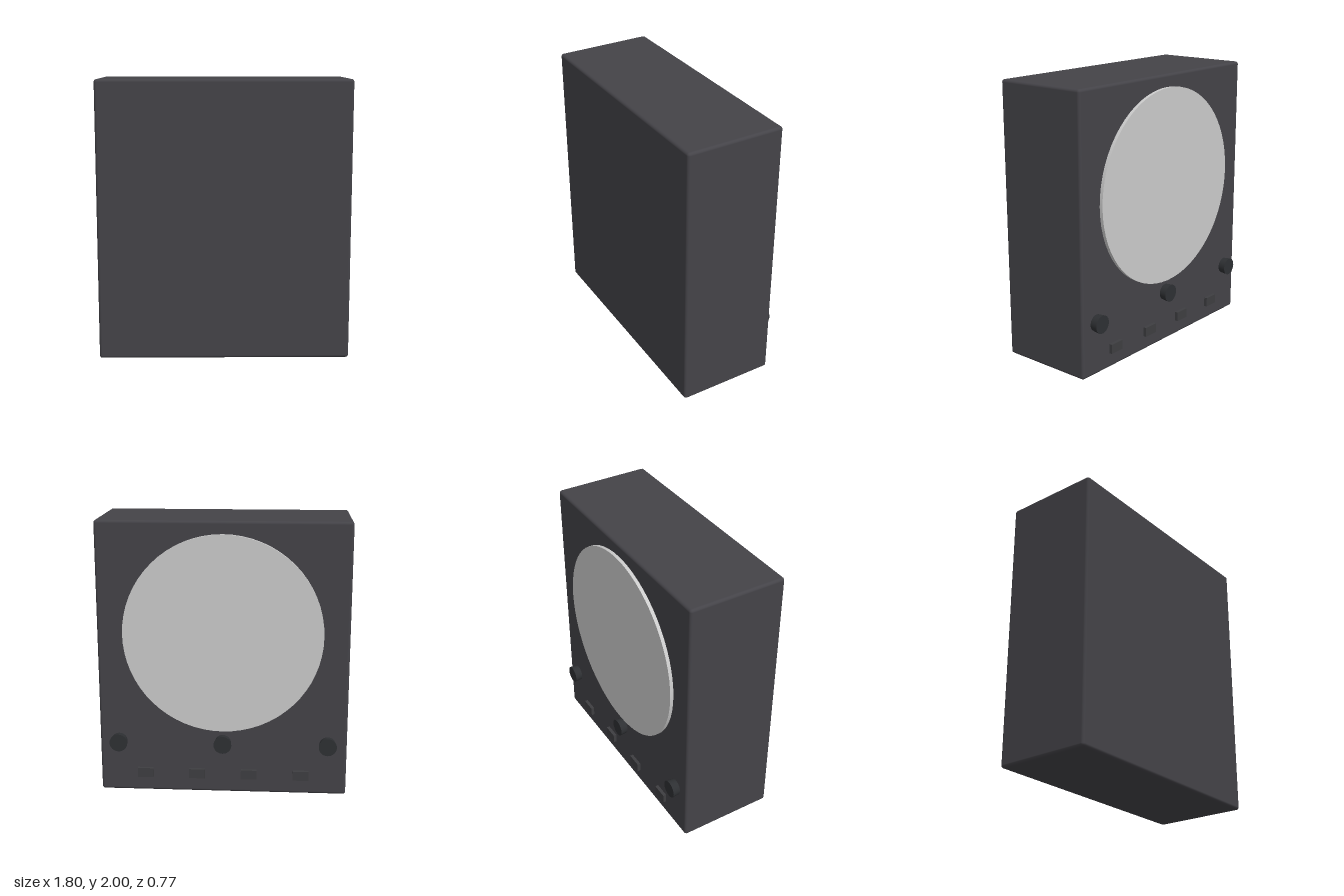
import * as THREE from 'three';
import { RoundedBoxGeometry } from 'three/addons/geometries/RoundedBoxGeometry.js';

const paint = (color) => new THREE.MeshStandardMaterial({ color });
const BACK = -0.328; // z of the control panel

export function createModel() {
  const group = new THREE.Group();
  const caseMat = paint(0x444348);
  const knobMat = paint(0x2e3033);
  const buttonMat = paint(0x3e3e41);
  const dialMat = paint(0xcccccc);

  const add = (name, geometry, material, x, y, z) => {
    const mesh = new THREE.Mesh(geometry, material);
    mesh.name = name;
    mesh.position.set(x, y, z);
    group.add(mesh);
    return mesh;
  };

  // Cabinet with softly rounded edges
  const depth = 0.385 - BACK;
  add('cabinet', new RoundedBoxGeometry(1.8, 2, depth, 3, 0.02), caseMat, 0, 1, BACK + depth / 2);

  // Large round disc; all round parts have their axis turned to -z
  const disc = new THREE.CylinderGeometry(0.715, 0.715, 0.035, 64).rotateX(-Math.PI / 2);
  add('disc', disc, dialMat, 0, 1.195, BACK - 0.0075);

  // Three knobs, flaring slightly outward
  const knob = new THREE.CylinderGeometry(0.065, 0.058, 0.067, 32).rotateX(-Math.PI / 2);
  for (const x of [-0.76, 0, 0.76]) add('knob', knob, knobMat, x, 0.385, -0.3515);

  // Row of four push buttons
  const button = new THREE.BoxGeometry(0.115, 0.07, 0.04);
  for (let i = 0; i < 4; i++) add('button', button, buttonMat, -0.57 + i * 0.38, 0.145, -0.332);

  return group;
}
